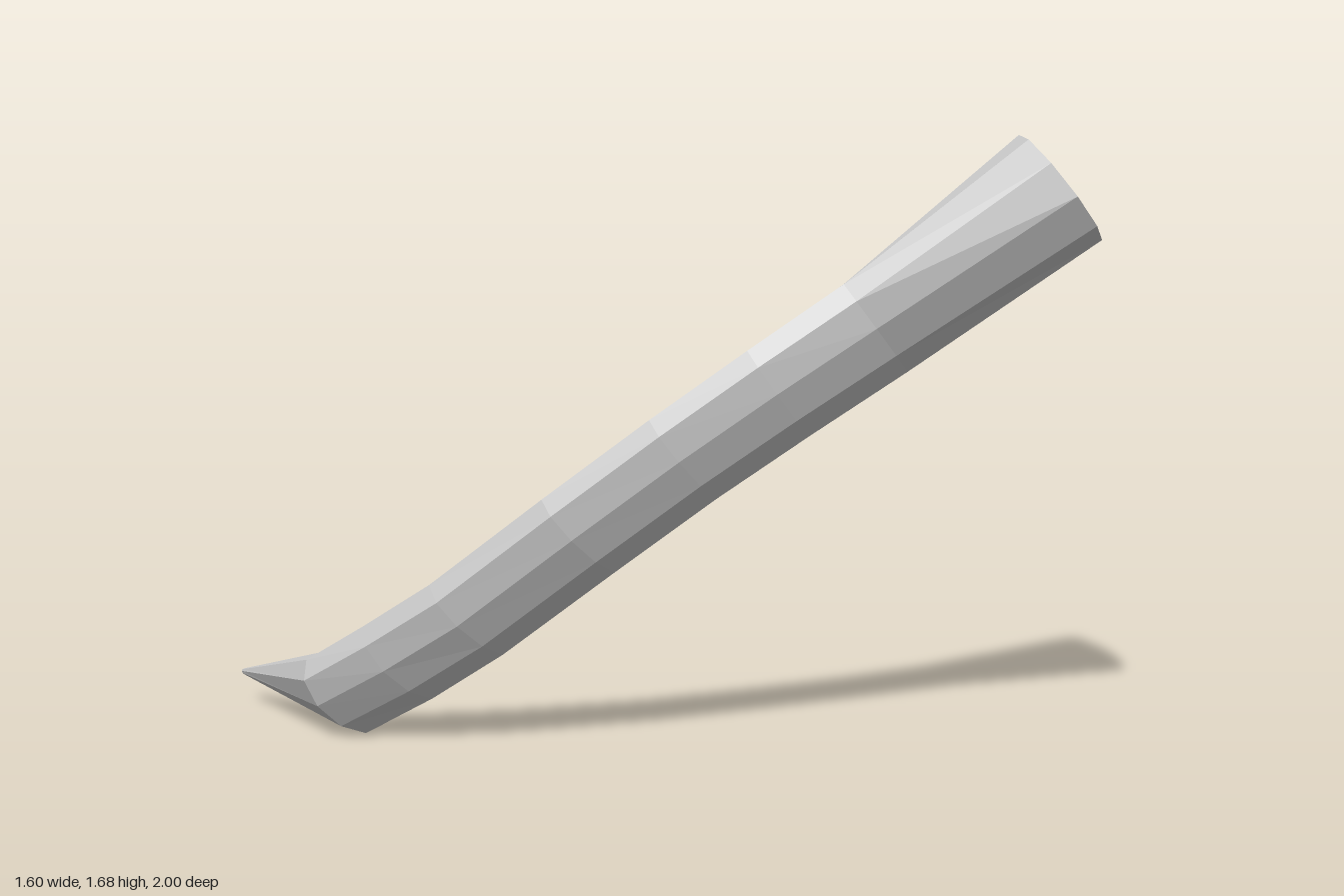
import * as THREE from 'three';

const SIDES = 10;

// Each ring: centre, half width, half depth, and optionally the direction it faces
const RINGS = [
  { c: [-0.77, 0.1, -1], a: 0.012, b: 0.008, n: [0, 0, 1] },
  { c: [-0.68, 0.13, -0.53], a: 0.16, b: 0.084, n: [0.08, 0.12, 1] },
  { c: [-0.58, 0.25, -0.36], a: 0.16, b: 0.082, n: [0.25, 0.4, 0.88] },
  { c: [-0.47, 0.385, -0.19], a: 0.16, b: 0.08 },
  { c: [-0.28, 0.635, 0.07], a: 0.16, b: 0.078 },
  { c: [-0.085, 0.845, 0.265], a: 0.16, b: 0.078 },
  { c: [0.1, 1.02, 0.425], a: 0.162, b: 0.08 },
  { c: [0.3, 1.19, 0.57], a: 0.164, b: 0.088 },
  { c: [0.66, 1.55, 0.855], a: 0.17, b: 0.17, n: [0.62, 0.62, 0.48] },
];

// Corner points of one ring, with the wide axis running right and down
function ringPoints(i) {
  const { c, a, b, n } = RINGS[i];
  const centre = new THREE.Vector3(...c);
  const normal = n
    ? new THREE.Vector3(...n)
    : new THREE.Vector3(...RINGS[i + 1].c).sub(new THREE.Vector3(...RINGS[i - 1].c));
  normal.normalize();
  const u = new THREE.Vector3(1, -1, 0).projectOnPlane(normal).normalize();
  const v = new THREE.Vector3().crossVectors(normal, u);
  return Array.from({ length: SIDES }, (_, k) => {
    const t = (k / SIDES) * Math.PI * 2;
    return centre.clone().addScaledVector(u, a * Math.cos(t)).addScaledVector(v, b * Math.sin(t));
  });
}

// Skin between rings from index first to last
function loft(first, last, capStart) {
  const position = [];
  const index = [];
  for (let i = first; i <= last; i++) {
    for (const p of ringPoints(i)) position.push(p.x, p.y, p.z);
  }
  for (let r = 0; r < last - first; r++) {
    for (let k = 0; k < SIDES; k++) {
      const k2 = (k + 1) % SIDES;
      const p = r * SIDES + k, q = r * SIDES + k2;
      index.push(p, q, q + SIDES, p, q + SIDES, p + SIDES);
    }
  }
  if (capStart) {
    for (let k = 1; k < SIDES - 1; k++) index.push(0, k + 1, k);
  }
  const geometry = new THREE.BufferGeometry();
  geometry.setAttribute('position', new THREE.Float32BufferAttribute(position, 3));
  geometry.setIndex(index);
  geometry.computeVertexNormals();
  return geometry;
}

export function createModel() {
  const group = new THREE.Group();
  group.name = 'curvedHorn';
  const material = new THREE.MeshStandardMaterial({
    color: 0xcccccc, flatShading: true, side: THREE.DoubleSide,
  });
  const add = (name, geometry) => {
    const mesh = new THREE.Mesh(geometry, material);
    mesh.name = name;
    group.add(mesh);
  };

  add('point', loft(0, 1, true));
  add('curvedBody', loft(1, 7, false));
  // Flared socket, open at the top
  add('openSocket', loft(7, 8, false));
  return group;
}
